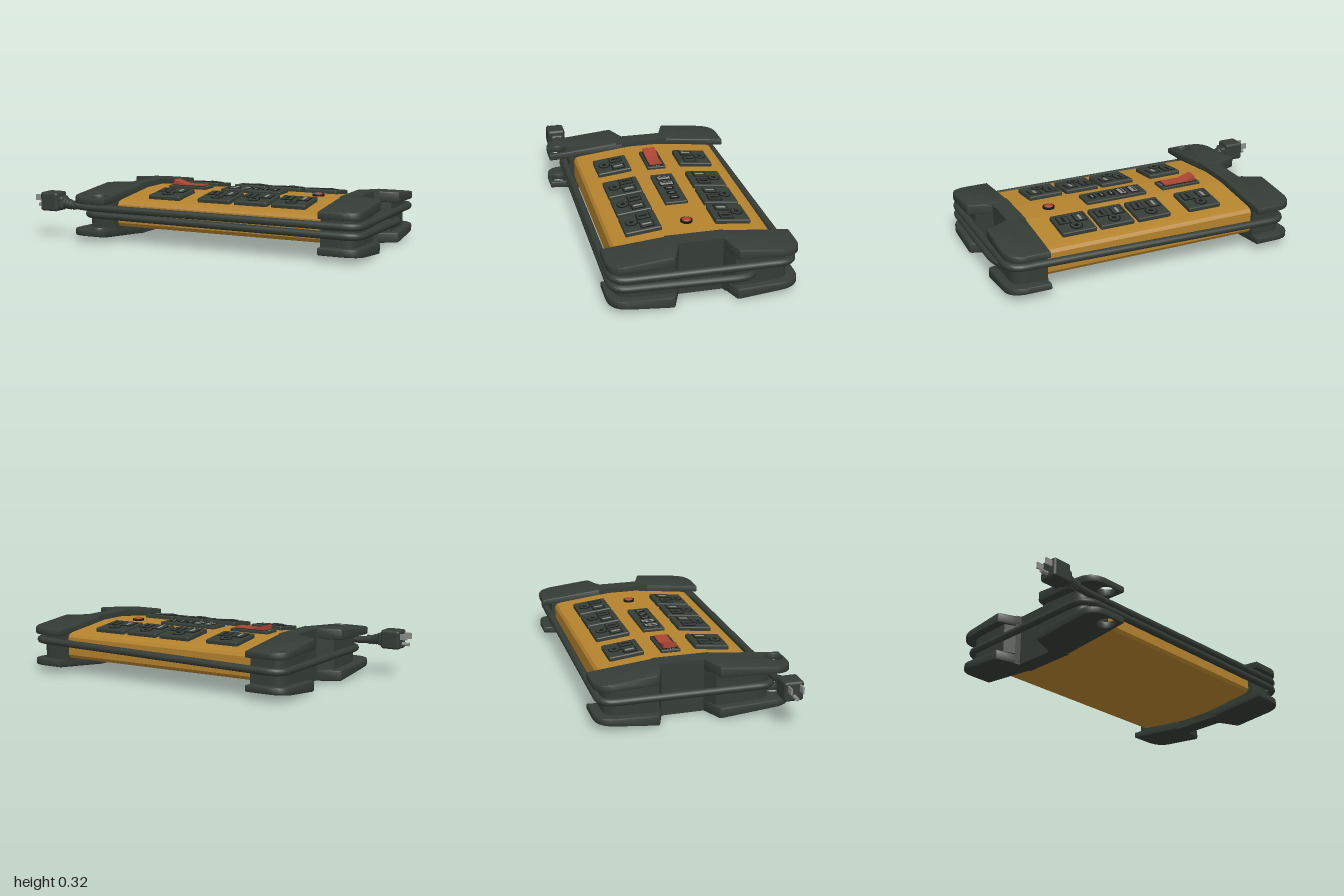
import * as THREE from 'three';
import { toCreasedNormals } from 'three/addons/utils/BufferGeometryUtils.js';
import { RoundedBoxGeometry } from 'three/addons/geometries/RoundedBoxGeometry.js';

const mat = (name, color) => new THREE.MeshStandardMaterial({ name, color });

export function createModel() {
  const gold = mat('gold', 0xb5832d);
  const dark = mat('dark green grey', 0x353d36);
  const black = mat('black', 0x171a18);
  const red = mat('red', 0xaa4433);
  const metal = mat('metal grey', 0x8b8f8b);

  const model = new THREE.Group();
  model.name = 'powerStrip';
  const MID_Z = -0.037;

  const add = (parent, name, geo, material, x = 0, y = 0, z = 0) => {
    const m = new THREE.Mesh(geo, material);
    m.name = name;
    m.position.set(x, y, z);
    parent.add(m);
    return m;
  };
  const box = (w, h, d) => new THREE.BoxGeometry(w, h, d);
  const rbox = (w, h, d, r) => new RoundedBoxGeometry(w, h, d, 2, r);

  // Outline from [x, z, cornerRadius] points, laid out for extruding upward
  function outline(points) {
    const pts = points.map(([x, z]) => new THREE.Vector2(x, -z));
    const shape = new THREE.Shape();
    pts.forEach((p, i) => {
      const r = points[i][2] || 0;
      const toward = (q) => p.clone().add(q.clone().sub(p).setLength(r));
      const a = toward(pts[(i + pts.length - 1) % pts.length]);
      const b = toward(pts[(i + 1) % pts.length]);
      if (i === 0) shape.moveTo(a.x, a.y); else shape.lineTo(a.x, a.y);
      if (r) shape.quadraticCurveTo(p.x, p.y, b.x, b.y);
    });
    shape.closePath();
    return shape;
  }

  // Housing: faceted bar with shallow sloping top and bottom
  const half = [[0.09, 0.27], [0.4, 0.235], [0.425, 0.228], [0.437, 0.21]];
  const upper = [...half, ...half.map(([d, y]) => [d, 0.315 - y]).reverse()];
  const ring = [...upper, ...upper.map(([d, y]) => [-d, y]).reverse()];
  const housing = new THREE.ExtrudeGeometry(
    new THREE.Shape(ring.map(([d, y]) => new THREE.Vector2(-d, y))),
    { depth: 1.3, bevelEnabled: false });
  housing.rotateY(Math.PI / 2);
  add(model, 'housing', housing, gold, -0.52, 0, MID_Z);

  // Flange: plate that thins and slopes away from the middle of the end cap
  function flange(points, top, hole) {
    const shape = outline(points);
    if (hole) {
      const path = new THREE.Path();
      path.absarc(hole[0], -hole[1], 0.05, 0, Math.PI * 2, true);
      shape.holes.push(path);
    }
    const geo = new THREE.ExtrudeGeometry(shape, {
      depth: 0.04, curveSegments: 10, bevelThickness: 0.01, bevelSize: 0.008,
      bevelOffset: -0.008, bevelSegments: 2 });
    geo.rotateX(-Math.PI / 2);
    const p = geo.attributes.position;
    for (let i = 0; i < p.count; i++) {
      const z = p.getZ(i);
      const d = z < MID_Z ? (-0.17 - z) / 0.38 : (z - 0.12) / 0.43;
      const t = (p.getY(i) + 0.01) / 0.06;
      const outer = 0.3 - 0.04 * d;
      const inner = 0.237 - 0.015 * d;
      p.setY(i, top ? THREE.MathUtils.lerp(inner, outer, t)
        : 0.3 - THREE.MathUtils.lerp(outer, inner, t));
    }
    return toCreasedNormals(geo, 0.6);
  }

  // End caps: notched core, middle block and four cord-holding flanges
  for (const [name, s, x0, frontZ] of [['left', 1, 0.755, 0.475], ['right', -1, -0.495, 0.55]]) {
    const cap = new THREE.Group();
    cap.name = name + 'EndCap';
    cap.position.x = x0;
    model.add(cap);
    const side = (pts) => pts.map(([u, z, r]) => [s * u, z, r]);

    const core = new THREE.ExtrudeGeometry(outline(side([
      [0, -0.495], [0.19, -0.495, 0.08], [0.19, -0.2], [0.1, -0.16], [0.1, 0.08],
      [0.19, 0.12], [0.19, 0.43, 0.08], [0, 0.43]])),
      { depth: 0.17, bevelEnabled: false, curveSegments: 8 });
    core.rotateX(-Math.PI / 2);
    add(cap, 'capCore', toCreasedNormals(core, 0.5), dark, 0, 0.065, 0);
    const block = new THREE.ExtrudeGeometry(outline(side([
      [0, -0.185], [0.13, -0.17], [0.1, -0.16], [0.1, 0.08], [0.14, 0.1], [0, 0.135]])),
      { depth: 0.3, bevelEnabled: false });
    block.rotateX(-Math.PI / 2);
    add(cap, 'capMiddle', block, dark);

    const back = side([[0, -0.55], [0.235, -0.55, 0.11], [0.235, -0.205, 0.015], [0.1, -0.16], [0, -0.16]]);
    const front = side([[0, 0.1], [0.1, 0.08], [0.235, 0.13, 0.015], [0.235, frontZ, 0.11], [0, frontZ]]);
    for (const top of [true, false]) {
      const level = top ? 'upper' : 'lower';
      add(cap, level + 'BackFlange', flange(back, top), dark);
      add(cap, level + 'FrontFlange', flange(front, top, s < 0 ? [-0.07, 0.49] : null), dark);
    }
  }

  // Cord wrapped around the caps in two layers
  const route = [[0.93, 0.12, -0.3], [0.972, 0.122, -0.26], [0.972, 0.14, 0.455],
    [-0.69, 0.15, 0.455], [-0.69, 0.152, -0.517], [0.972, 0.185, -0.517],
    [0.972, 0.19, 0.455], [-0.7, 0.19, 0.455], [-0.78, 0.205, 0.455]]
    .map((p) => new THREE.Vector3(...p));
  const cordPath = new THREE.CurvePath();
  let from = route[0];
  for (let i = 1; i < route.length - 1; i++) {
    const [prev, p, next] = [route[i - 1], route[i], route[i + 1]];
    const reach = (q) => p.clone().add(q.clone().sub(p).setLength(Math.min(0.09, p.distanceTo(q) * 0.45)));
    const a = reach(prev), b = reach(next);
    cordPath.add(new THREE.LineCurve3(from, a));
    cordPath.add(new THREE.QuadraticBezierCurve3(a, p, b));
    from = b;
  }
  cordPath.add(new THREE.LineCurve3(from, route[route.length - 1]));
  add(model, 'cord', new THREE.TubeGeometry(cordPath, 320, 0.021, 12), dark);

  // Plug with ribbed strain relief and three prongs
  const plug = new THREE.Group();
  plug.name = 'plug';
  plug.position.set(-0.9, 0.215, 0.455);
  model.add(plug);
  add(plug, 'plugBody', rbox(0.115, 0.11, 0.11, 0.015), dark);
  add(plug, 'plugNeck', rbox(0.05, 0.075, 0.08, 0.015), dark, 0.06, -0.005, 0);
  for (let i = 0; i < 4; i++) {
    const rib = add(plug, 'strainRelief', new THREE.CylinderGeometry(0.034 - i * 0.003, 0.031 - i * 0.003, 0.017, 14),
      dark, 0.09 + i * 0.02, -0.008 - i * 0.004, 0);
    rib.rotation.z = Math.PI / 2;
  }
  add(plug, 'strainCore', new THREE.CylinderGeometry(0.022, 0.022, 0.1, 12), dark, 0.11, -0.012, 0)
    .rotation.z = Math.PI / 2;
  for (const z of [-0.033, 0.033]) add(plug, 'prong', box(0.055, 0.035, 0.009), metal, -0.0725, 0.02, z);
  add(plug, 'groundProng', new THREE.CylinderGeometry(0.011, 0.011, 0.055, 12), metal, -0.0725, -0.025, 0)
    .rotation.z = Math.PI / 2;

  // Outlets: two mirrored rows on the sloping panels
  const disc = (r, h) => new THREE.CylinderGeometry(r, r, h, 24);
  for (const s of [1, -1]) {
    const row = new THREE.Group();
    row.name = s > 0 ? 'frontOutlets' : 'backOutlets';
    row.position.z = MID_Z;
    row.rotation.y = s > 0 ? 0 : Math.PI;
    model.add(row);
    for (const x of [-0.245, 0.07, 0.295, 0.52]) {
      const outlet = new THREE.Group();
      outlet.name = 'outlet';
      outlet.position.set(s * x, 0.273, 0.249);
      outlet.rotation.x = 0.112;
      row.add(outlet);
      add(outlet, 'outletPlate', rbox(0.2, 0.05, 0.2, 0.008), dark, 0, -0.022, 0);
      for (const sx of [-0.048, 0.048]) {
        add(outlet, 'slotRim', box(0.068, 0.006, 0.078), black, sx, 0.003, -0.03);
        add(outlet, 'slotFace', box(0.056, 0.006, 0.066), dark, sx, 0.005, -0.03);
        add(outlet, 'slot', box(0.014, 0.006, 0.05), sx > 0 ? metal : black, sx, 0.0065, -0.03);
      }
      add(outlet, 'groundRim', disc(0.036, 0.006), black, 0, 0.003, 0.045);
      add(outlet, 'groundFace', disc(0.03, 0.006), dark, 0, 0.005, 0.045);
      add(outlet, 'groundHole', disc(0.013, 0.006), black, 0, 0.0065, 0.045);
    }
  }

  // Rocker switch
  const rocker = new THREE.Group();
  rocker.name = 'rockerSwitch';
  rocker.position.set(-0.248, 0, -0.038);
  model.add(rocker);
  add(rocker, 'switchFrame', rbox(0.245, 0.04, 0.112, 0.006), dark, 0, 0.266, 0);
  add(rocker, 'switchWell', box(0.206, 0.006, 0.084), black, 0, 0.285, 0);
  const profile = new THREE.Shape([[-0.098, 0.275], [0.098, 0.275], [0.098, 0.296],
    [0.03, 0.291], [-0.02, 0.293], [-0.098, 0.317]].map((p) => new THREE.Vector2(...p)));
  add(rocker, 'rocker', new THREE.ExtrudeGeometry(profile, { depth: 0.074, bevelEnabled: false }), red, 0, 0, -0.037);
  for (const x of [-0.11, 0.11]) {
    for (const z of [-0.015, 0, 0.015]) add(rocker, 'switchMark', box(0.012, 0.003, 0.004), metal, x, 0.2865, z);
  }

  // Charging ports
  const ports = new THREE.Group();
  ports.name = 'chargingPorts';
  ports.position.set(0.168, 0, -0.037);
  model.add(ports);
  add(ports, 'portPanel', rbox(0.375, 0.04, 0.13, 0.006), dark, 0, 0.267, 0);
  for (const x of [-0.125, -0.052]) {
    add(ports, 'widePort', box(0.048, 0.006, 0.086), black, x, 0.287, 0);
    add(ports, 'widePortLining', box(0.036, 0.006, 0.072), metal, x, 0.2885, 0);
    add(ports, 'widePortTongue', box(0.01, 0.006, 0.055), dark, x - 0.006, 0.29, 0);
  }
  for (const x of [0.012, 0.072, 0.132]) {
    add(ports, 'smallPort', box(0.036, 0.006, 0.056), black, x, 0.287, 0);
    add(ports, 'smallPortTongue', box(0.008, 0.006, 0.032), metal, x, 0.2885, 0);
  }

  // Reset button
  add(model, 'resetCollar', disc(0.034, 0.03), black, 0.565, 0.266, MID_Z);
  const dome = new THREE.SphereGeometry(0.026, 20, 8, 0, Math.PI * 2, 0, Math.PI / 2);
  dome.scale(1, 0.35, 1);
  add(model, 'resetButton', dome, red, 0.565, 0.2812, MID_Z);

  return model;
}
